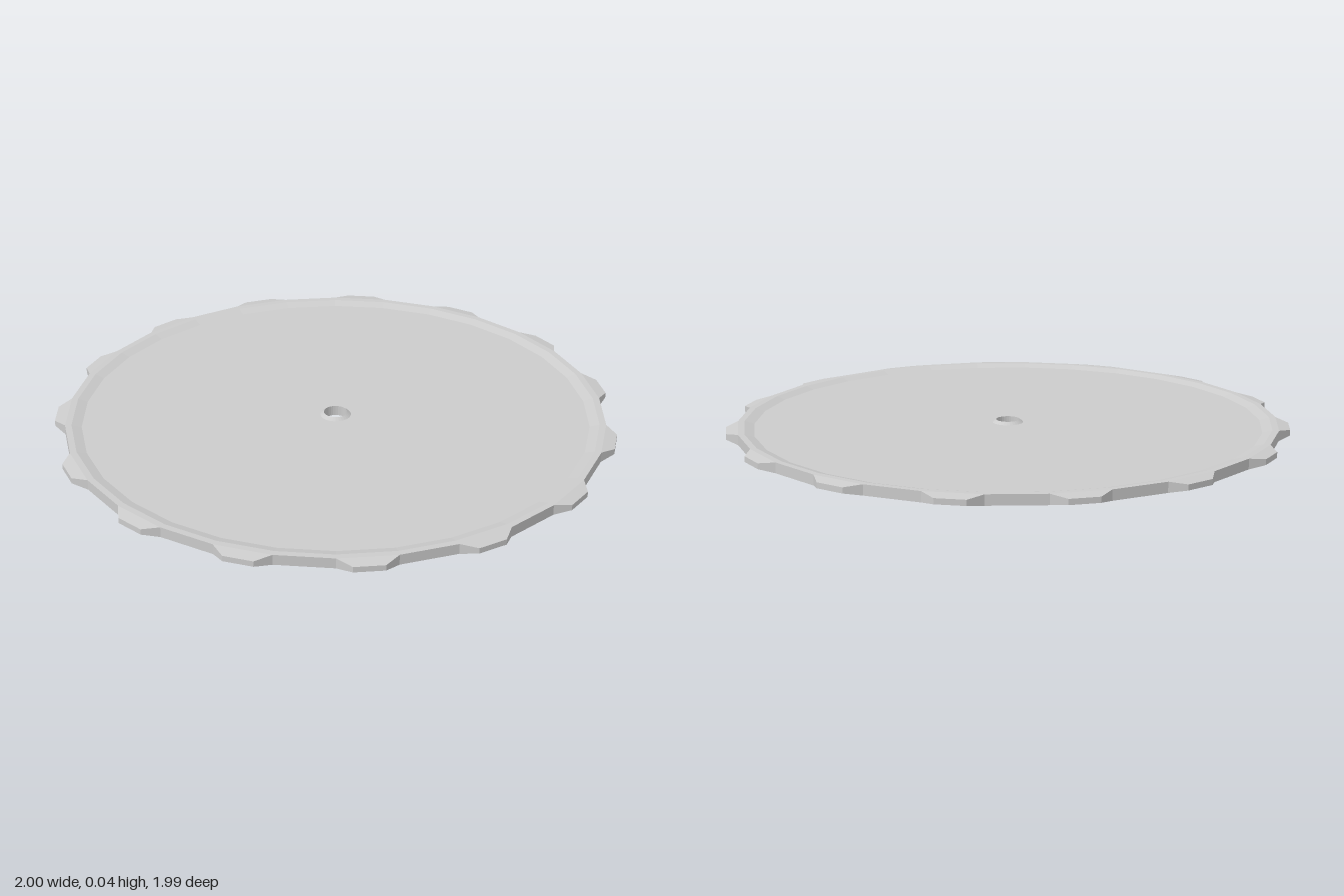
import * as THREE from 'three';

const TEETH = 15, RAD = Math.PI / 180;
const TOP = 0.037, STEP = 0.01;           // full thickness, depth of the recessed faces
const material = new THREE.MeshStandardMaterial({ color: 0xcccccc, flatShading: true });

// One column of points per corner: tooth foot, tooth tip, tooth tip, tooth foot
const columns = [];
for (let t = 0; t < TEETH; t++)
  for (const off of [-6, -3, 3, 6]) columns.push({ angle: (t * 24 + off) * RAD, off: off * RAD, tip: Math.abs(off) === 3 });

// Sweeps a profile of { r, y, tipR, tipY } around the axis; tip values apply at tooth tips
function sweep(name, profile) {
  const pos = [], index = [], n = profile.length, m = columns.length;
  for (const { angle, off, tip } of columns)
    for (const p of profile) {
      // straight sides of a 30-sided ring, unless pulled out to a tooth tip
      const chord = p.r * Math.cos(6 * RAD) / Math.cos(off);
      const r = tip && p.tipR ? p.tipR : chord;
      const y = tip && p.tipY !== undefined ? p.tipY : p.y;
      pos.push(Math.sin(angle) * r, y, Math.cos(angle) * r);
    }
  for (let i = 0; i < m; i++)
    for (let j = 0; j < n - 1; j++) {
      const a = i * n + j, b = ((i + 1) % m) * n + j;
      index.push(a, a + 1, b, b, a + 1, b + 1);
    }
  const geometry = new THREE.BufferGeometry();
  geometry.setAttribute('position', new THREE.Float32BufferAttribute(pos, 3));
  geometry.setIndex(index);
  geometry.computeVertexNormals();
  const mesh = new THREE.Mesh(geometry, material);
  mesh.name = name;
  return mesh;
}

export function createModel() {
  const group = new THREE.Group();
  group.name = 'toothedDisc';
  const p = (r, y, tipR, tipY) => ({ r, y, tipR, tipY });

  // Raised rim with bevelled teeth
  group.add(sweep('toothedRim', [
    p(0.905, TOP - STEP), p(0.94, TOP), p(0.963, TOP),
    p(0.963, TOP, 1.0014, 0.029), p(0.963, 0, 1.0014, 0.009),
    p(0.963, 0), p(0.94, 0), p(0.905, STEP),
  ]));

  // Recessed faces of the plate
  group.add(sweep('plateTop', [p(0.055, TOP - STEP), p(0.905, TOP - STEP)]));
  group.add(sweep('plateBottom', [p(0.905, STEP), p(0.055, STEP)]));

  // Hub collar around the centre hole
  group.add(sweep('hub', [
    p(0.055, STEP), p(0.042, 0), p(0.042, TOP), p(0.055, TOP - STEP),
  ]));

  group.position.z = -0.0055;
  return group;
}
